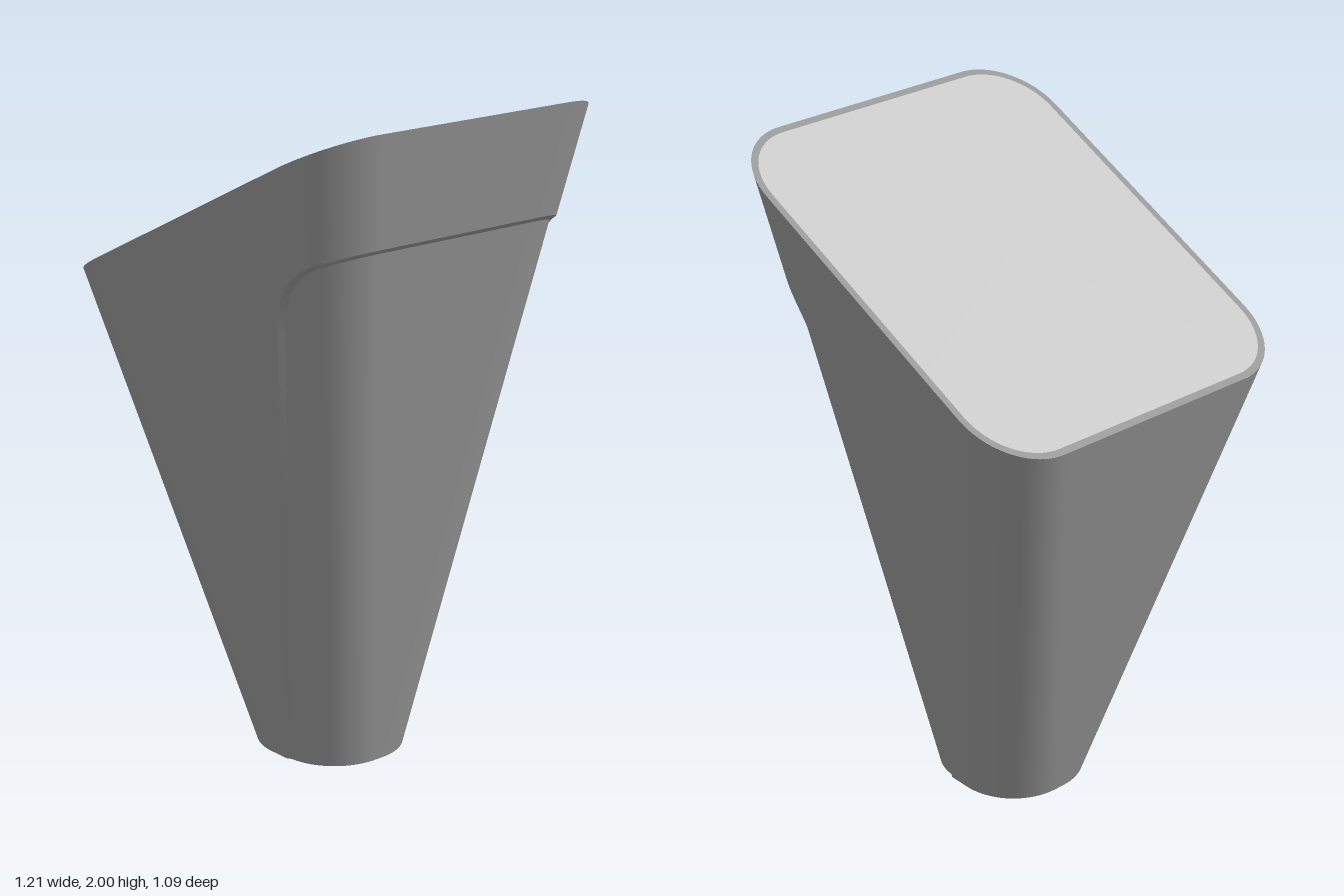
import * as THREE from 'three';

const bodyGrey = new THREE.MeshStandardMaterial({ name: 'bodyGrey', color: 0x969696 });
const plateGrey = new THREE.MeshStandardMaterial({ name: 'plateLightGrey', color: 0xc8c8c8 });
const footBlack = new THREE.MeshStandardMaterial({ name: 'footBlack', color: 0x2a2a2a });

const lerp = THREE.MathUtils.lerp;
const topHeight = (x) => 1.71 + x * 0.4833;

// Rounded rectangle, s runs 0..12 from the middle of +x towards +z
// (each quarter: half side, corner arc, half side)
function ring(s, hx, hz, r) {
  const q = s > 6 ? s - 12 : s;
  let a = Math.abs(q);
  const flip = a > 3 ? -1 : 1;
  if (a > 3) a = 6 - a;
  let x, z;
  if (a <= 1) {
    x = hx;
    z = (hz - r) * a;
  } else if (a <= 2) {
    const t = (a - 1) * Math.PI / 2;
    x = hx - r + r * Math.cos(t);
    z = hz - r + r * Math.sin(t);
  } else {
    x = (hx - r) * (3 - a);
    z = hz;
  }
  return [x * flip, z * Math.sign(q)];
}

// Point on the straight-ruled skin between the foot and the slanted rim
function skin(s, v, inset = 0) {
  const [bx, bz] = ring(s, 0.225 - inset, 0.207 - inset, 0.19 - inset);
  const [tx, tz] = ring(s, 0.603 - inset, 0.545 - inset, 0.2 - inset);
  return [lerp(bx, tx, v), topHeight(tx) * v, lerp(bz, tz, v)];
}

// Point on the slanted top, inset from the outer edge
function rim(s, inset) {
  const [x, z] = ring(s, 0.603 - inset, 0.545 - inset, 0.2 - inset);
  return [x, topHeight(x), z];
}

// Upper edge of the recessed panel, with rounded corners
function recessTop(s) {
  const t = Math.max(0, (Math.abs(s) - 1.62) / 0.38);
  return 0.835 - 0.07 * (1 - Math.sqrt(Math.max(0, 1 - t * t)));
}

// Panel surface: slightly narrower than its opening, sunk more at the top
function panelPoint(s, v) {
  return skin(s * 0.975, v * 0.995, 0.008 + 0.011 * v);
}

// Smooth grid over s in [s0, s1] and k in [0, 1]
function grid(s0, s1, ns, nk, fn) {
  const pos = [], index = [];
  for (let i = 0; i <= ns; i++) {
    for (let j = 0; j <= nk; j++) pos.push(...fn(lerp(s0, s1, i / ns), j / nk));
  }
  for (let i = 0; i < ns; i++) {
    for (let j = 0; j < nk; j++) {
      const a = i * (nk + 1) + j, b = a + nk + 1;
      index.push(a, a + 1, b, a + 1, b + 1, b);
    }
  }
  const g = new THREE.BufferGeometry();
  g.setAttribute('position', new THREE.Float32BufferAttribute(pos, 3));
  g.setIndex(index);
  g.computeVertexNormals();
  return g;
}

export function createModel() {
  const group = new THREE.Group();
  group.name = 'taperedBody';
  const add = (name, geometry, material) => {
    const m = new THREE.Mesh(geometry, material);
    m.name = name;
    group.add(m);
  };

  // Outer shell around the recess, and the collar above it
  add('shell', grid(2, 10, 160, 12, (s, k) => skin(s, k)), bodyGrey);
  add('collar', grid(-2, 2, 128, 4, (s, k) => skin(s, lerp(recessTop(s), 1, k))), bodyGrey);

  // Sunken panel on the +x side
  add('recessedPanel', grid(-2, 2, 128, 12, (s, k) => panelPoint(s, recessTop(s) * k)), bodyGrey);

  // Step between panel and shell: up one side, across, down the other
  add('recessStep', grid(-3, 3, 192, 1, (e, k) => {
    const s = THREE.MathUtils.clamp(e, -2, 2);
    const v = recessTop(s) * Math.min(1, 3 - Math.abs(e));
    return k ? skin(s, v) : panelPoint(s, v);
  }), bodyGrey);

  // Slanted top: thin rim and light plate
  add('rim', grid(0, 12, 192, 1, (s, k) => rim(s, 0.02 * k)), bodyGrey);
  add('topPlate', grid(0, 12, 192, 1, (s, k) => (k ? [0, topHeight(0), 0] : rim(s, 0.02))), plateGrey);

  // Foot
  add('foot', grid(0, 12, 192, 1, (s, k) => (k ? skin(s, 0) : [0, 0, 0])), footBlack);

  return group;
}
